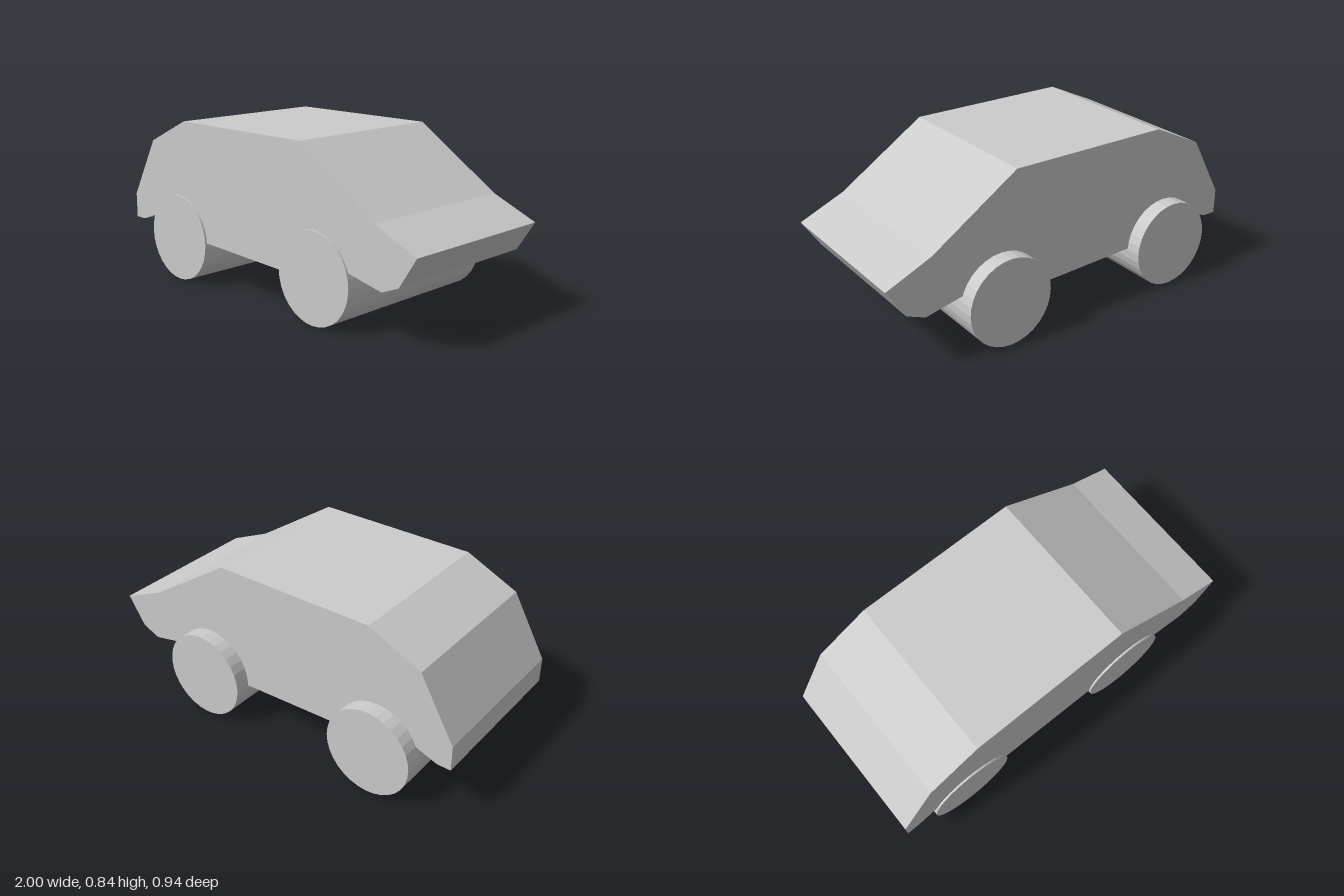
import * as THREE from 'three';

const material = new THREE.MeshStandardMaterial({ color: 0xcccccc, flatShading: true });

// Side outline of the car body, nose towards +x
const PROFILE = [
  [-1, 0.27], [-0.93, 0.27], [-0.82, 0.31], [-0.61, 0.33], [-0.385, 0.235],
  [0.18, 0.215], [0.4, 0.33], [0.62, 0.295], [0.81, 0.255], [0.905, 0.295],
  [1, 0.443], [0.765, 0.545], [0.31, 0.843], [-0.545, 0.843], [-0.82, 0.715], [-1, 0.4],
];
const BODY_BACK = -0.39, BODY_FRONT = 0.46;
const WHEEL_RADIUS = 0.226, AXLE_LENGTH = 0.94;

export function createModel() {
  const car = new THREE.Group();
  car.name = 'car';

  // Body: the outline extruded across the width
  const shape = new THREE.Shape(PROFILE.map(([x, y]) => new THREE.Vector2(x, y)));
  const bodyGeometry = new THREE.ExtrudeGeometry(shape, {
    depth: BODY_FRONT - BODY_BACK, bevelEnabled: false,
  });
  bodyGeometry.translate(0, 0, BODY_BACK);
  const body = new THREE.Mesh(bodyGeometry, material);
  body.name = 'body';
  car.add(body);

  // Wheels: one full-width roller per axle
  const wheelGeometry = new THREE.CylinderGeometry(WHEEL_RADIUS, WHEEL_RADIUS, AXLE_LENGTH, 32);
  wheelGeometry.rotateX(Math.PI / 2);
  for (const [name, x] of [['rearWheels', -0.608], ['frontWheels', 0.4]]) {
    const wheels = new THREE.Mesh(wheelGeometry, material);
    wheels.name = name;
    wheels.position.set(x, WHEEL_RADIUS, 0);
    car.add(wheels);
  }
  return car;
}
